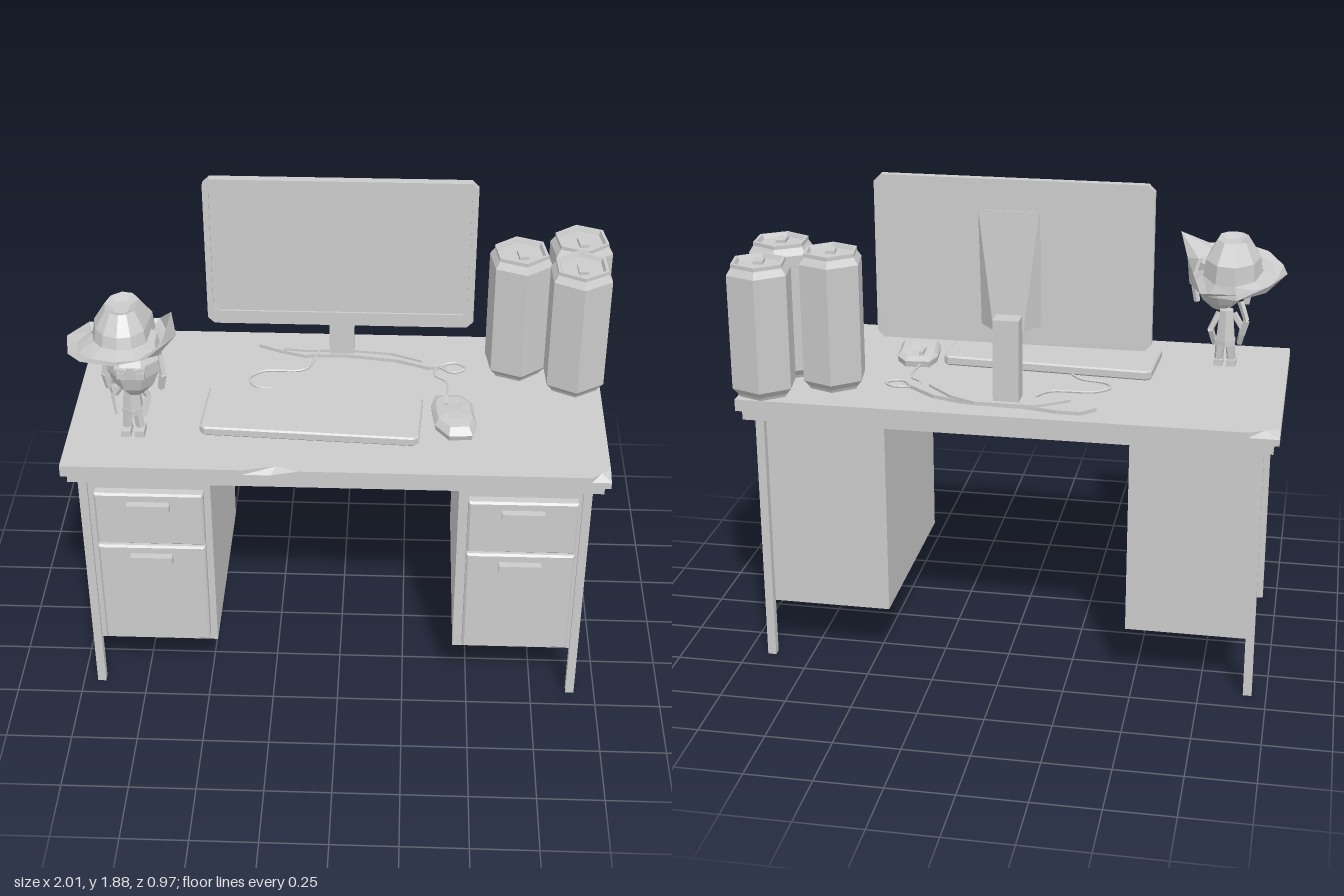
import * as THREE from 'three';

const grey = new THREE.MeshStandardMaterial({ color: 0xcccccc, flatShading: true });
const thin = new THREE.MeshStandardMaterial({ color: 0xcccccc, flatShading: true, side: THREE.DoubleSide });

function add(parent, name, geometry, pos = [0, 0, 0], material = grey) {
  const mesh = new THREE.Mesh(geometry, material);
  mesh.name = name;
  mesh.position.set(...pos);
  parent.add(mesh);
  return mesh;
}

// Box given by its min and max along each axis
function block(parent, name, [x0, x1], [y0, y1], [z0, z1]) {
  return add(parent, name, new THREE.BoxGeometry(x1 - x0, y1 - y0, z1 - z0),
    [(x0 + x1) / 2, (y0 + y1) / 2, (z0 + z1) / 2]);
}

// Skin over rings of [x, y, z] points, bottom to top, running from +x towards +z
function loft(rings, bottom = true, top = true) {
  const v = [], n = rings[0].length;
  const mid = r => [0, 1, 2].map(k => r.reduce((s, p) => s + p[k], 0) / n);
  const first = rings[0], last = rings[rings.length - 1];
  const c0 = mid(first), c1 = mid(last);
  for (let i = 0; i < n; i++) {
    const j = (i + 1) % n;
    for (let k = 0; k < rings.length - 1; k++) {
      const a = rings[k], b = rings[k + 1];
      v.push(...a[i], ...b[i], ...a[j], ...a[j], ...b[i], ...b[j]);
    }
    if (bottom) v.push(...c0, ...first[i], ...first[j]);
    if (top) v.push(...c1, ...last[j], ...last[i]);
  }
  const g = new THREE.BufferGeometry();
  g.setAttribute('position', new THREE.Float32BufferAttribute(v, 3));
  g.computeVertexNormals();
  return g;
}

// Rectangle with clipped corners
function clipped(w, h, c, Kind = THREE.Shape) {
  const x = w / 2, y = h / 2;
  return new Kind([[x, y - c], [x - c, y], [c - x, y], [-x, y - c], [-x, c - y], [c - x, -y], [x - c, -y], [x, c - y]]
    .map(p => new THREE.Vector2(...p)));
}
const extrude = (shape, depth, bevel = 0) => new THREE.ExtrudeGeometry(shape,
  { depth, bevelEnabled: bevel > 0, bevelSize: bevel, bevelThickness: bevel, bevelOffset: -bevel, bevelSegments: 1 });

// Flat plate from [x, z] points, lying at height y
function plate(points, depth, bevel = 0) {
  const g = extrude(new THREE.Shape(points.map(([x, z]) => new THREE.Vector2(x, -z))), depth, bevel);
  return g.rotateX(-Math.PI / 2);
}

function tube(points, radius, segments = 32, sides = 5) {
  const curve = new THREE.CatmullRomCurve3(points.map(p => new THREE.Vector3(...p)));
  return new THREE.TubeGeometry(curve, segments, radius, sides);
}

function buildDesk() {
  const desk = new THREE.Group();
  desk.name = 'desk';
  block(desk, 'topLip', [-0.98, 0.96], [0.985, 1.025], [-0.44, 0.45]);

  // Tabletop with worn corners and a nicked front edge
  const full = [[0.98, -0.46], [0.98, 0.41], [0.98, 0.47], [0.91, 0.47], [-0.14, 0.47], [-0.24, 0.47],
    [-0.34, 0.47], [-1, 0.47], [-1, -0.40], [-1, -0.46], [-0.89, -0.46], [-0.2, -0.46]];
  const worn = full.map(p => [...p]);
  worn[2] = [0.945, 0.44];
  worn[5] = [-0.22, 0.44];
  worn[9] = [-0.945, -0.43];
  const at = (ring, y) => ring.map(([x, z]) => [x, y, z]);
  add(desk, 'tabletop', loft([at(full, 1.025), at(full, 1.05), at(worn, 1.07)]));

  for (const side of [-1, 1]) {
    const cx = side < 0 ? -0.69 : 0.675;
    const outer = side < 0 ? -0.93 : 0.905;
    const x = [outer + side * -0.015, outer - side * 0.465].sort((a, b) => a - b);
    block(desk, 'cabinet', x, [0.22, 0.99], [-0.38, 0.42]);
    for (const z of [-0.395, 0.418])
      block(desk, 'leg', [outer - 0.016, outer + 0.016], [0, 0.99], [z - 0.016, z + 0.016]);
    for (const [y0, y1, handleY] of [[0.25, 0.7, 0.65], [0.71, 0.94, 0.89]]) {
      add(desk, 'drawerFront', extrude(clipped(0.4, y1 - y0, 0.003), 0.03, 0.008), [cx, (y0 + y1) / 2, 0.42]);
      block(desk, 'drawerHandle', [cx - 0.078, cx + 0.078], [handleY - 0.017, handleY + 0.017], [0.45, 0.485]);
    }
  }
  return desk;
}

function buildMonitor() {
  const monitor = new THREE.Group();
  monitor.name = 'monitor';
  const frame = clipped(1.01, 0.61, 0.025);
  add(monitor, 'screen', extrude(frame, 0.024), [-0.015, 1.575, -0.237]);
  const hole = clipped(0.965, 0.54, 0.02, THREE.Path);
  hole.curves.forEach(c => { c.v1.y += 0.02; c.v2.y += 0.02; });
  frame.holes.push(hole);
  add(monitor, 'bezel', extrude(frame, 0.008), [-0.015, 1.575, -0.213]);

  // Wedge joining the neck to the back of the screen
  add(monitor, 'mountWedge', loft([
    [[0.1, 1.34, -0.236], [-0.12, 1.34, -0.236], [-0.065, 1.34, -0.3], [0.045, 1.34, -0.3]],
    [[0.1, 1.78, -0.282], [-0.12, 1.78, -0.282], [-0.12, 1.78, -0.286], [0.1, 1.78, -0.286]]]));
  block(monitor, 'neck', [-0.06, 0.035], [1.07, 1.4], [-0.37, -0.295]);

  // Curved foot in two tiers
  add(monitor, 'foot', plate([[-0.34, -0.35], [-0.29, -0.4], [-0.2, -0.4], [-0.08, -0.37], [0.15, -0.36], [0.27, -0.32],
    [0.39, -0.22], [0.33, -0.21], [0.2, -0.26], [0, -0.29], [-0.16, -0.28], [-0.25, -0.31]], 0.014), [0, 1.07, 0]);
  add(monitor, 'footRidge', plate([[-0.24, -0.31], [-0.12, -0.39], [0.1, -0.39], [0.2, -0.34], [0.3, -0.24],
    [0.18, -0.29], [0, -0.31], [-0.15, -0.3]], 0.014), [0, 1.08, 0]);
  return monitor;
}

function buildKeyboardAndMouse() {
  const set = new THREE.Group();
  set.name = 'keyboardAndMouse';
  const keys = add(set, 'keyboard', plate([[-0.385, -0.142], [0.385, -0.142], [0.403, -0.124], [0.403, 0.124],
    [0.385, 0.142], [-0.385, 0.142], [-0.403, 0.124], [-0.403, -0.124]], 0.025, 0.006), [-0.105, 1.081, 0.147]);
  keys.rotation.y = -0.055;

  // Mouse body tapering to a rounded back
  const ring = (s, y) => [[1, -0.55], [1.05, 0.45], [0.75, 1], [-0.35, 1], [-0.95, 0.45], [-1, -0.5], [-0.7, -1], [0.5, -1]]
    .map(([x, z]) => [x * 0.078 * s, y - 0.012 * Math.max(0, -z) * (s < 1), z * 0.135 * s]);
  const mouse = add(set, 'mouse', loft([ring(0.95, 0), ring(1, 0.022), ring(0.8, 0.046), ring(0.4, 0.05)]), [0.418, 1.072, 0.13]);
  mouse.rotation.y = 0.08;
  block(set, 'mouseWheel', [0.385, 0.4], [1.1, 1.122], [0.03, 0.09]);

  add(set, 'mouseCable', tube([[0.39, 1.08, 0], [0.4, 1.076, -0.06], [0.39, 1.076, -0.13], [0.35, 1.076, -0.17],
    [0.36, 1.076, -0.22], [0.43, 1.08, -0.25], [0.47, 1.08, -0.21], [0.42, 1.08, -0.18], [0.36, 1.078, -0.23]], 0.005));
  add(set, 'keyboardCable', tube([[-0.2, 1.08, -0.005], [-0.24, 1.076, -0.04], [-0.34, 1.076, -0.07], [-0.36, 1.076, -0.12],
    [-0.31, 1.076, -0.17], [-0.15, 1.076, -0.19], [-0.1, 1.09, -0.3]], 0.005));
  return set;
}

// Hexagonal drink can with recessed lid and pull tab
function buildCan(x, z, turn, h) {
  const can = new THREE.Group();
  can.name = 'can';
  const profile = [[0, 0.012], [0.09, 0.012], [0.098, 0], [0.104, 0.012], [0.124, 0.035], [0.124, h - 0.04],
    [0.106, h - 0.014], [0.106, h], [0.094, h], [0.087, h - 0.016], [0, h - 0.016]];
  add(can, 'canBody', new THREE.LatheGeometry(profile.map(p => new THREE.Vector2(...p)), 6));
  add(can, 'pullTab', new THREE.BoxGeometry(0.035, 0.012, 0.06), [0, h - 0.008, 0.02]);
  can.position.set(x, 1.072, z);
  can.rotation.y = turn;
  return can;
}

function buildFigurine() {
  const fig = new THREE.Group();
  fig.name = 'figurine';
  const limb = (name, points, r, sides = 5) => {
    for (let i = 0; i < points.length - 1; i++) {
      const a = new THREE.Vector3(...points[i]), b = new THREE.Vector3(...points[i + 1]);
      const m = add(fig, name, new THREE.CylinderGeometry(r, r * 0.85, a.distanceTo(b), sides));
      m.position.copy(a).add(b).multiplyScalar(0.5);
      m.quaternion.setFromUnitVectors(new THREE.Vector3(0, 1, 0), a.clone().sub(b).normalize());
    }
  };
  // Legs, boots and torso
  for (const x of [-0.783, -0.733]) {
    limb('leg', [[x + (x < -0.76 ? 0.01 : -0.006), 1.175, 0.235], [x, 1.08, 0.24]], 0.02);
    block(fig, 'boot', [x - 0.018, x + 0.018], [1.07, 1.095], [0.215, 0.28]);
  }
  add(fig, 'torso', new THREE.CylinderGeometry(0.028, 0.042, 0.14, 6), [-0.757, 1.225, 0.23]);
  add(fig, 'belt', new THREE.CylinderGeometry(0.043, 0.043, 0.018, 6), [-0.757, 1.17, 0.23]);
  limb('arm', [[-0.785, 1.28, 0.23], [-0.822, 1.22, 0.225], [-0.81, 1.155, 0.25]], 0.014);
  limb('arm', [[-0.73, 1.28, 0.23], [-0.7, 1.215, 0.22], [-0.715, 1.15, 0.25]], 0.014);

  // Head narrowing towards the chin
  const ring = (r, y, dz) => Array.from({ length: 8 }, (_, i) => {
    const a = (i + 0.5) * Math.PI / 4;
    return [-0.733 + r * Math.cos(a), y, 0.265 + dz + 1.12 * r * Math.sin(a)];
  });
  add(fig, 'head', loft([ring(0.035, 1.285, 0.02), ring(0.075, 1.325, 0.01), ring(0.1, 1.38, 0), ring(0.102, 1.43, 0), ring(0.085, 1.48, -0.02)]));
  for (const side of [-1, 1]) {
    block(fig, 'eye', [-0.733 + side * 0.035 - 0.014, -0.733 + side * 0.035 + 0.014], [1.385, 1.41], [0.35, 0.374]);
    const brow = block(fig, 'eyebrow', [-0.733 + side * 0.035 - 0.022, -0.733 + side * 0.035 + 0.022], [1.42, 1.432], [0.35, 0.382]);
    brow.rotation.z = side * 0.2;
    // Long locks in front of the ears
    limb('hairLock', [[-0.733 + side * 0.092, 1.43, 0.28], [-0.733 + side * 0.104, 1.36, 0.3], [-0.733 + side * 0.094, 1.3, 0.295]], 0.014, 4);
  }
  limb('braid', [[-0.81, 1.33, 0.22], [-0.835, 1.26, 0.21], [-0.82, 1.2, 0.215]], 0.013, 4);
  add(fig, 'hairBack', new THREE.SphereGeometry(0.095, 7, 5), [-0.745, 1.405, 0.22]);

  // Hat: [x, y, z] of the brim edge, then rings blending into the crown
  const edge = [[-0.98, 1.455, 0.2], [-0.92, 1.44, 0.08], [-0.8, 1.415, 0.03], [-0.67, 1.42, 0.01], [-0.61, 1.52, 0.13],
    [-0.565, 1.56, 0.35], [-0.67, 1.5, 0.42], [-0.78, 1.5, 0.465], [-0.9, 1.48, 0.41], [-0.96, 1.455, 0.32]];
  const crown = (rx, rz, y, tilt, cz) => edge.map(([x, , z]) => {
    const a = Math.atan2(z - 0.2, x + 0.77);
    return [-0.775 + rx * Math.cos(a), y + tilt * rz * Math.sin(a), cz + rz * Math.sin(a)];
  });
  const under = crown(0.17, 0.19, 1.435, 0.22, 0.215);
  add(fig, 'hatBrim', loft([edge, under, crown(0.115, 0.155, 1.465, 0.15, 0.19)].reverse(), false, false), [0, 0, 0], thin);
  add(fig, 'hatCrown', loft([crown(0.115, 0.155, 1.455, 0.15, 0.19), crown(0.105, 0.145, 1.52, 0.05, 0.185),
    crown(0.062, 0.085, 1.588, 0.02, 0.19), crown(0.03, 0.045, 1.572, 0, 0.19)]), [0, 0, 0], thin);
  return fig;
}

export function createModel() {
  const model = new THREE.Group();
  model.name = 'officeDesk';
  model.add(buildDesk(), buildMonitor(), buildKeyboardAndMouse(), buildFigurine(),
    buildCan(0.66, -0.24, 0.15, 0.52), buildCan(0.893, -0.367, 0.15, 0.505), buildCan(0.877, -0.137, 0.05, 0.522));
  return model;
}
